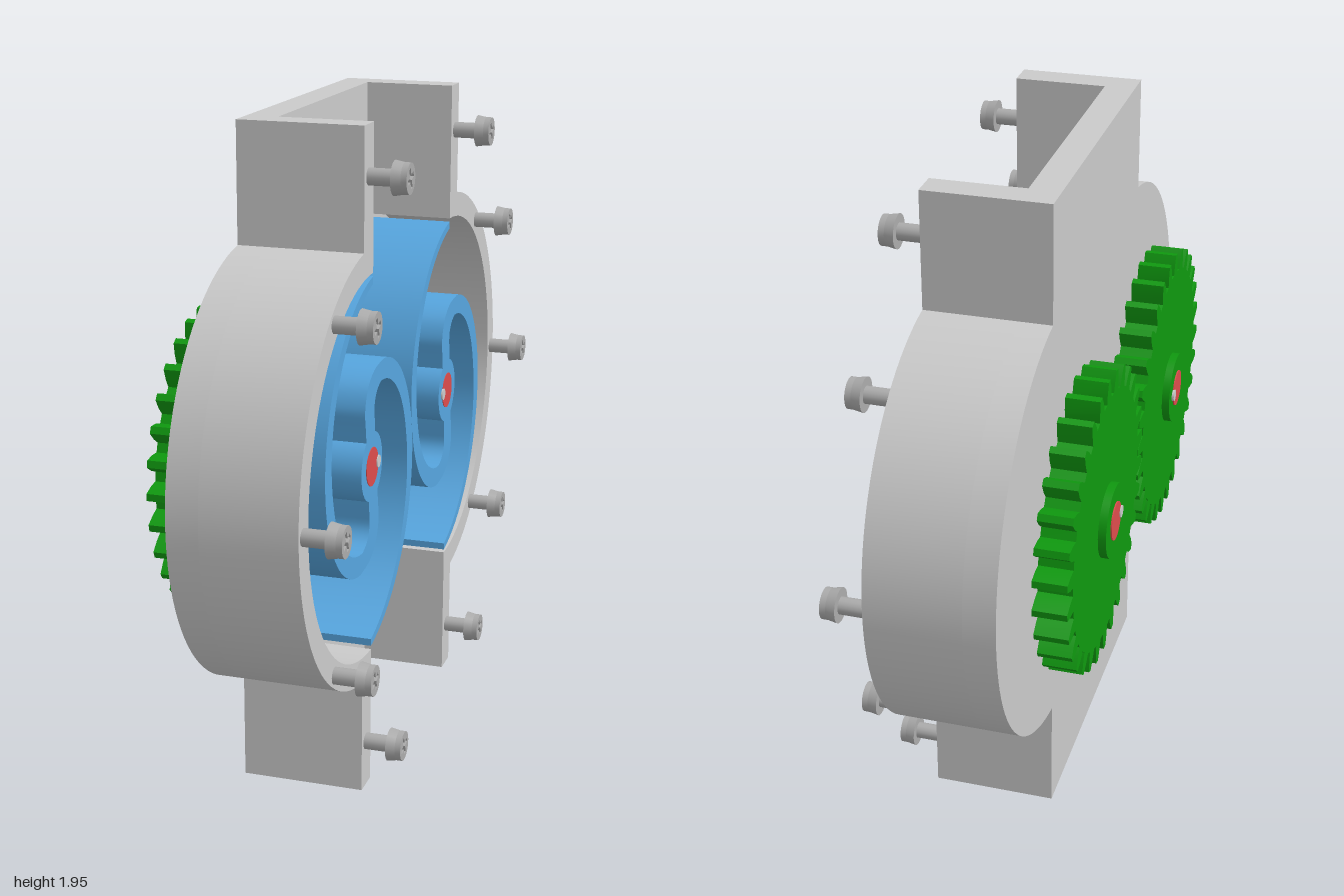
import * as THREE from 'three';
import { toCreasedNormals } from 'three/addons/utils/BufferGeometryUtils.js';

const paint = (name, color) => {
  const m = new THREE.MeshStandardMaterial({ color });
  m.name = name;
  return m;
};
const V = (x, y) => new THREE.Vector2(x, y);
const polar = (r, a, cx = 0) => V(cx + r * Math.cos(a), r * Math.sin(a));
const rad = THREE.MathUtils.degToRad;

// Points along a circular arc, angles in degrees
function arc(cx, r, a0, a1, n) {
  return Array.from({ length: n + 1 }, (_, i) => polar(r, rad(a0 + (a1 - a0) * i / n), cx));
}

// Flat outline pushed from z0 to z1
function slab(points, z0, z1, holes = [], crease = 0.5) {
  const shape = new THREE.Shape(points);
  shape.holes = holes.map(h => new THREE.Path(h));
  const g = new THREE.ExtrudeGeometry(shape, { depth: z1 - z0, bevelEnabled: false });
  g.translate(0, 0, z0);
  return toCreasedNormals(g, crease);
}

// Cylinder lying along z
function rod(r0, r1, z0, z1, sides = 32) {
  const g = new THREE.CylinderGeometry(r1, r0, z1 - z0, sides);
  g.rotateX(Math.PI / 2);
  g.translate(0, 0, (z0 + z1) / 2);
  return g;
}

export function createModel() {
  const grey = paint('housing grey', 0xcacaca);
  const steel = paint('screw steel', 0xababab);
  const blue = paint('rotor blue', 0x56a5de);
  const green = paint('gear green', 0x0f980f);
  const red = paint('shaft red', 0xdc4c4c);

  const model = new THREE.Group();
  const pump = new THREE.Group();
  pump.name = 'pump';
  model.add(pump);
  const add = (parent, name, geometry, material) => {
    const m = new THREE.Mesh(geometry, material);
    m.name = name;
    parent.add(m);
    return m;
  };

  // Main dimensions
  const C = 0.41, R = 0.63, RI = 0.555, W = 0.495, H = 0.965;
  const FLOOR = 0.09, FRONT = 0.36;
  const lip = 180 - THREE.MathUtils.radToDeg(Math.acos((W - C) / R));

  // Back plate: two round lobes crossed by a straight channel
  const rightLobe = arc(C, R, -180 + lip, 180 - lip, 48);
  const leftLobe = arc(-C, R, lip, 360 - lip, 48);
  add(pump, 'backPlate', slab([
    V(W, -H), ...rightLobe, V(W, H), V(-W, H), ...leftLobe, V(-W, -H),
  ], 0, FLOOR), grey);

  // Side walls, open at both channel ends
  const wall = [
    V(W, -H), ...rightLobe, V(W, H), V(C, H), ...arc(C, RI, 90, -90, 48), V(C, -H),
  ];
  for (const s of [1, -1]) {
    add(pump, s > 0 ? 'leftWall' : 'rightWall',
      slab(wall.map(p => V(p.x * s, p.y)), FLOOR, FRONT), grey);
  }

  // Spiral arm: radius grows evenly with angle, tip thins out, root hooks into hub
  const outerR = d => 0.41 - 0.0015 * d;
  const thick = d => d > 0 ? 0.063 : 0.063 + 0.042 * d / 90;
  const outer = [], inner = [];
  for (let d = 70; d >= -90; d -= 4) {
    outer.push(polar(outerR(d), rad(d)));
    inner.unshift(polar(outerR(d) - thick(d), rad(d)));
  }
  const hookOut = new THREE.SplineCurve([
    V(-0.05, 0.06), V(-0.06, 0.12), V(-0.068, 0.18), V(-0.04, 0.24), V(0.02, 0.276), outer[0],
  ]).getPoints(24);
  const hookIn = new THREE.SplineCurve([
    inner[inner.length - 1], V(0.045, 0.21), V(0.022, 0.175), V(0.025, 0.12), V(0.03, 0.06),
  ]).getPoints(16);
  const armGeo = slab([...hookOut, ...outer.slice(1), ...inner, ...hookIn.slice(1)],
    FLOOR, FRONT, [], 0.7);

  // Gear outline with tapered teeth
  const TEETH = 30, step = Math.PI * 2 / TEETH;
  const teeth = [];
  for (let i = 0; i < TEETH; i++) {
    for (const [r, k] of [[0.376, -0.33], [0.405, -0.25], [0.436, -0.11],
      [0.436, 0.11], [0.405, 0.25], [0.376, 0.33]]) {
      teeth.push(polar(r, (i + k) * step));
    }
  }
  const gearGeo = slab(teeth, -0.135, -0.038);

  // Rotor, shaft, key and gear on each axis
  for (const s of [1, -1]) {
    const axis = new THREE.Group();
    axis.name = s > 0 ? 'leftRotor' : 'rightRotor';
    axis.position.x = s * C;
    pump.add(axis);
    add(axis, 'rotorHub', rod(0.1, 0.1, FLOOR, FRONT), blue);
    for (let i = 0; i < 2; i++) {
      add(axis, 'spiralArm', armGeo, blue).rotation.z = i * Math.PI;
    }
    add(axis, 'shaft', rod(0.056, 0.056, -0.162, 0.362), red);
    add(axis, 'shaftKey', rod(0.018, 0.018, -0.165, 0.365, 16), grey).position.x = -s * 0.053;
    add(axis, 'gear', gearGeo, green).rotation.z = s > 0 ? step / 2 : 0;
    add(axis, 'gearCollar', rod(0.108, 0.108, -0.158, 0), green);
  }

  // Screws with cross-slotted heads
  const a = 0.007, b = 0.028;
  const cross = [[b, -a], [b, a], [a, a], [a, b], [-a, b], [-a, a], [-b, a], [-b, -a],
    [-a, -a], [-a, -b], [a, -b], [a, -a]].map(p => V(...p));
  const headTop = slab(arc(0, 0.043, 0, 345, 23), 0.459, 0.476, [cross]);
  const headBase = rod(0.048, 0.043, 0.432, 0.459, 24);
  const stem = rod(0.024, 0.024, 0.2, 0.433, 16);
  for (const s of [1, -1]) {
    for (const [x, y] of [[0.455, 0.825], [0.75, 0.49], [1.005, 0], [0.75, -0.49], [0.455, -0.825]]) {
      const screw = new THREE.Group();
      screw.name = 'screw';
      screw.position.set(s * x, y, 0);
      screw.rotation.z = 0.35;
      add(screw, 'screwStem', stem, steel);
      add(screw, 'screwHead', headBase, steel);
      add(screw, 'screwSlotRing', headTop, steel);
      pump.add(screw);
    }
  }

  // Turned stance of the whole pump
  pump.rotation.set(0, rad(33.6), rad(-1.2), 'YXZ');
  pump.position.set(-0.135, 0.975, -0.195);
  return model;
}
